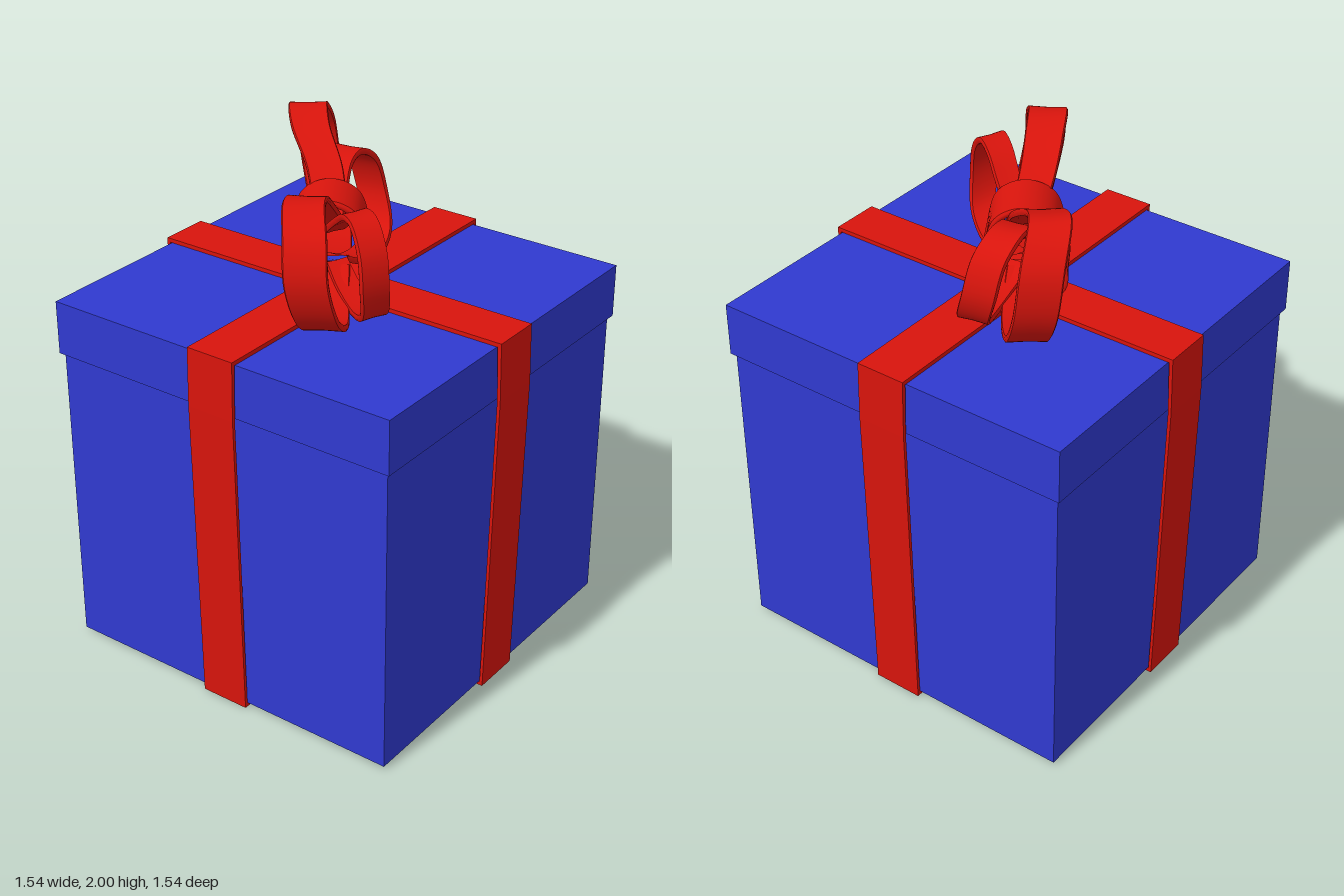
import * as THREE from 'three';
import { toCreasedNormals } from 'three/addons/utils/BufferGeometryUtils.js';

const blue = new THREE.MeshStandardMaterial({ color: 0x3039d0 });
const red = new THREE.MeshStandardMaterial({ color: 0xd8140c });

function add(group, name, geometry, material) {
  const mesh = new THREE.Mesh(geometry, material);
  mesh.name = name;
  group.add(mesh);
  return mesh;
}

function box(group, name, size, y0, y1) {
  add(group, name, new THREE.BoxGeometry(size, y1 - y0, size), blue).position.y = (y0 + y1) / 2;
}

// Sweeps a thin strip with softened edges along a curve; "across" is the direction of its width
function strip(points, across, width, closed = false, steps = 80) {
  const curve = new THREE.CatmullRomCurve3(points.map(p => new THREE.Vector3(...p)), closed);
  const w = new THREE.Vector3(...across).normalize();
  const t = 0.012;
  const section = [[1, -0.4], [1, 0.4], [0.94, 1], [0, 0.8], [-0.94, 1], [-1, 0.4],
    [-1, -0.4], [-0.94, -1], [0, -0.8], [0.94, -1]];
  const n = section.length, pos = [], index = [];
  for (let i = 0; i <= steps; i++) {
    const u = i / steps;
    const c = curve.getPointAt(u);
    const normal = curve.getTangentAt(u).cross(w).normalize();
    // loops narrow a little where they enter the knot
    const half = width / 2 * (closed ? 1 : 0.8 + 0.2 * Math.sin(Math.PI * u));
    for (const [a, b] of section) {
      const p = c.clone().addScaledVector(w, a * half).addScaledVector(normal, b * t);
      pos.push(p.x, p.y, p.z);
    }
  }
  for (let i = 0; i < steps; i++) {
    for (let j = 0; j < n; j++) {
      const a = i * n + j, b = i * n + (j + 1) % n;
      index.push(a, b, b + n, a, b + n, a + n);
    }
  }
  const g = new THREE.BufferGeometry();
  g.setAttribute('position', new THREE.Float32BufferAttribute(pos, 3));
  g.setIndex(index);
  return toCreasedNormals(g, 0.8);
}

export function createModel() {
  const model = new THREE.Group();
  model.name = 'giftBox';

  // Box and lid
  box(model, 'boxBody', 1.46, 0.015, 1.25);
  box(model, 'lid', 1.49, 1.25, 1.462);

  // Two bands wrapped around the box, wider over the lid than at the foot
  const outline = side => [...side, ...side.map(([x, y]) => [-x, y]).reverse()]
    .map(([x, y]) => new THREE.Vector2(x, y));
  const band = new THREE.Shape(outline([[0.745, 0], [0.77, 1.25], [0.765, 1.48]]));
  band.holes.push(new THREE.Path(outline([[0.733, 0.016], [0.757, 1.25], [0.75, 1.464]])));
  const bandGeometry = new THREE.ExtrudeGeometry(band, { depth: 0.2, bevelEnabled: false });
  bandGeometry.translate(0, 0, -0.1);
  add(model, 'bandAcross', bandGeometry, red);
  add(model, 'bandFrontToBack', bandGeometry, red).rotation.y = Math.PI / 2;

  const bow = new THREE.Group();
  bow.name = 'bow';
  model.add(bow);

  // Bow loops: from the knot over the top, around the tip and back along the lid
  const loops = [
    { name: 'largeLeftLoop', width: 0.155, across: [0.62, 0, 0.78], path: [
      [0, 1.74, -0.05], [0.1, 1.85, -0.15], [0.2, 1.95, -0.29], [0.31, 1.985, -0.385],
      [0.42, 1.88, -0.435], [0.445, 1.7, -0.425], [0.39, 1.56, -0.35], [0.26, 1.5, -0.23],
      [0.1, 1.5, -0.11], [0, 1.55, -0.05]] },
    { name: 'smallLeftLoop', width: 0.13, across: [0.2, 0, 0.98], path: [
      [0, 1.68, -0.05], [0.1, 1.78, -0.11], [0.2, 1.85, -0.16], [0.29, 1.86, -0.18],
      [0.38, 1.8, -0.18], [0.42, 1.67, -0.165], [0.38, 1.55, -0.11], [0.27, 1.5, -0.06],
      [0.12, 1.51, -0.03], [0, 1.56, -0.03]] },
    { name: 'largeRightLoop', width: 0.155, across: [0.52, 0, 0.85], path: [
      [-0.05, 1.72, -0.02], [-0.18, 1.84, 0.02], [-0.32, 1.93, 0.09], [-0.42, 1.945, 0.15],
      [-0.52, 1.88, 0.23], [-0.56, 1.74, 0.265], [-0.5, 1.58, 0.265], [-0.38, 1.5, 0.22],
      [-0.2, 1.5, 0.1], [-0.05, 1.55, 0]] },
    { name: 'smallRightLoop', width: 0.115, across: [0.93, 0, 0.37], path: [
      [-0.05, 1.7, 0], [-0.13, 1.8, 0.12], [-0.2, 1.86, 0.21], [-0.26, 1.865, 0.29],
      [-0.31, 1.79, 0.36], [-0.322, 1.67, 0.38], [-0.28, 1.55, 0.35], [-0.2, 1.5, 0.25],
      [-0.1, 1.52, 0.1], [-0.03, 1.56, 0]] },
  ];
  for (const { name, path, across, width } of loops) {
    add(bow, name, strip(path, across, width), red);
  }

  // Knot: a closed strip around the middle of the bow, turned to follow it
  const half = [[0.13, 1.492], [0.15, 1.53], [0.135, 1.65], [0.105, 1.77], [0.06, 1.81]];
  const ring = [[0, 1.488], ...half, [0, 1.825], ...half.map(([v, y]) => [-v, y]).reverse()];
  const knot = add(bow, 'knot', strip(ring.map(([v, y]) => [0, y, v]), [1, 0, 0], 0.225, true), red);
  knot.position.set(-0.027, 0, -0.035);
  knot.rotation.y = 0.58;

  return model;
}
